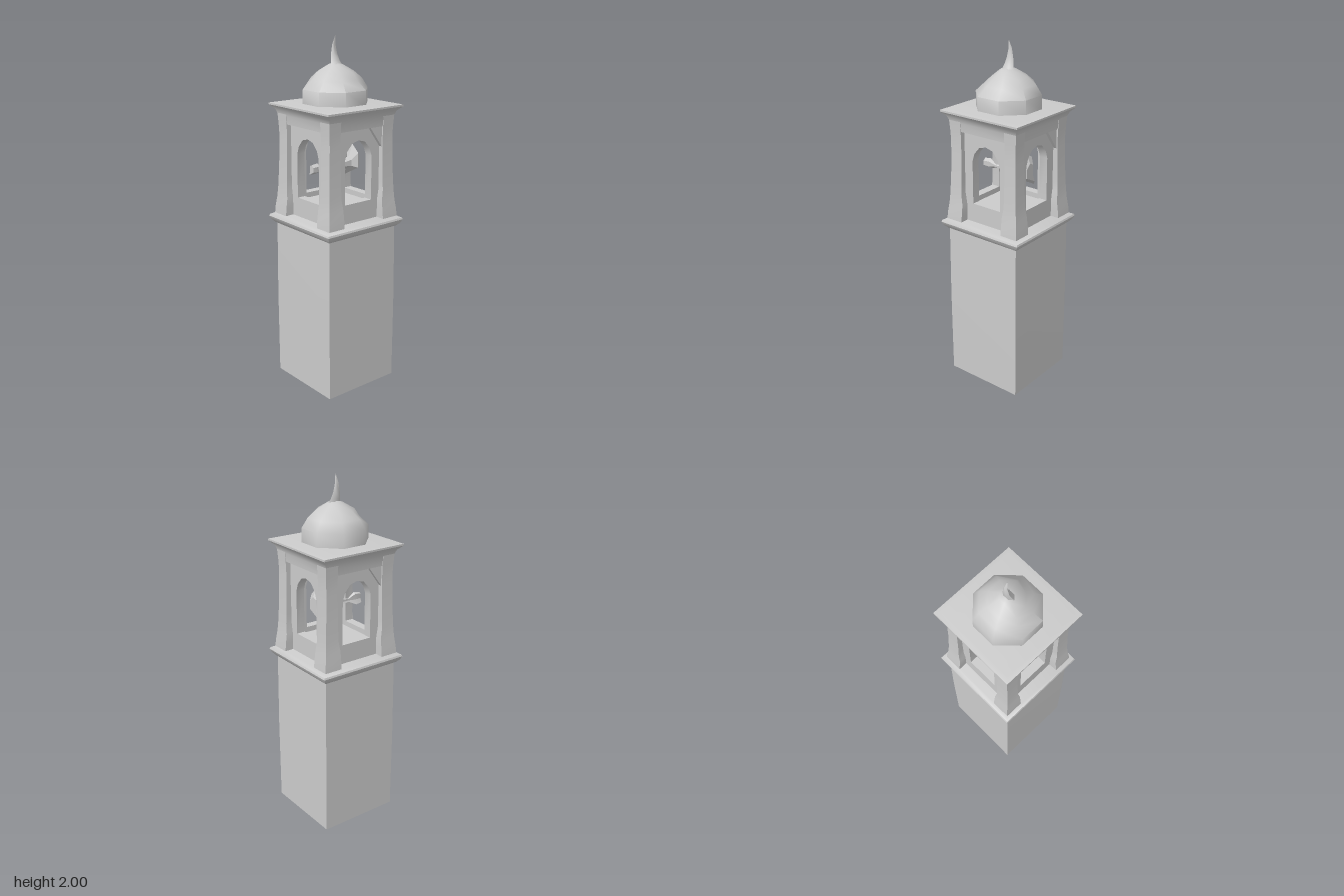
import * as THREE from 'three';
import { toCreasedNormals } from 'three/addons/utils/BufferGeometryUtils.js';

const material = new THREE.MeshStandardMaterial({ color: 0xcccccc, side: THREE.DoubleSide });

function add(parent, name, geometry, crease = 0.7) {
  const mesh = new THREE.Mesh(toCreasedNormals(geometry, crease), material);
  mesh.name = name;
  parent.add(mesh);
  return mesh;
}

// Square or polygonal solid from [half width, height] pairs, flats facing the axes
function prism(profile, sides) {
  const k = 1 / Math.cos(Math.PI / sides);
  const points = profile.map(([r, y]) => new THREE.Vector2(r * k, y));
  return new THREE.LatheGeometry(points, sides, Math.PI / sides);
}

// Half width of the belfry corner at a given height
const corner = [[0.98, 0.248], [1.05, 0.243], [1.12, 0.233], [1.3, 0.225], [1.48, 0.222], [1.6, 0.23]];
function cornerAt(y) {
  for (let i = 1; i < corner.length; i++) {
    const [y0, r0] = corner[i - 1], [y1, r1] = corner[i];
    if (y <= y1) return r0 + (r1 - r0) * (y - y0) / (y1 - y0);
  }
  return corner[corner.length - 1][1];
}

// Corner pier with flared foot and slightly bowed outer faces
function pierGeometry() {
  const g = new THREE.BoxGeometry(1, 0.6, 1, 1, 10, 1);
  const p = g.attributes.position;
  for (let i = 0; i < p.count; i++) {
    const y = p.getY(i) + 1.28;
    const out = cornerAt(y), inner = 0.15 - 0.01 * (y < 1.1 ? 1 : 0);
    p.setXYZ(i, p.getX(i) > 0 ? out : inner, y, p.getZ(i) > 0 ? out : inner);
  }
  return g;
}

// Recessed wall panel with a faceted arch opening
function panelGeometry() {
  const shape = new THREE.Shape([[-0.17, 1], [0.17, 1], [0.17, 1.56], [-0.17, 1.56]]
    .map(([x, y]) => new THREE.Vector2(x, y)));
  const arch = [[-0.095, 1.11], [-0.095, 1.36], [-0.08, 1.405], [-0.045, 1.445], [0, 1.457],
    [0.045, 1.445], [0.08, 1.405], [0.095, 1.36], [0.095, 1.11]];
  shape.holes.push(new THREE.Path(arch.map(([x, y]) => new THREE.Vector2(x, y))));
  const g = new THREE.ExtrudeGeometry(shape, { depth: 0.05, bevelEnabled: false });
  return g.translate(0, 0, 0.145);
}

// Ragged bell and its bar, lofted along x from one scaled outline
function bellGeometry() {
  const outline = [[0.05, 0.07], [0, 0.115], [-0.045, 0.095], [-0.04, 0], [-0.07, -0.075], [0.05, -0.015]];
  const sections = [[-0.17, 0.3], [-0.13, 0.35], [-0.09, 0.1], [0.04, 0.22], [0.1, 0.42], [0.125, 1], [0.15, 0.6]];
  const n = outline.length, pos = [], index = [];
  for (const [x, s] of sections) for (const [z, y] of outline) pos.push(x, 1.275 + y * s, z * s);
  for (let i = 0; i < sections.length - 1; i++) {
    for (let j = 0; j < n; j++) {
      const a = i * n + j, b = i * n + (j + 1) % n;
      index.push(a, b, a + n, b, b + n, a + n);
    }
  }
  const last = (sections.length - 1) * n;
  for (let j = 1; j < n - 1; j++) index.push(0, j + 1, j, last, last + j, last + j + 1);
  const g = new THREE.BufferGeometry();
  g.setAttribute('position', new THREE.Float32BufferAttribute(pos, 3));
  g.setIndex(index);
  return g;
}

export function createModel() {
  const tower = new THREE.Group();
  tower.name = 'bellTower';

  // Shaft and ledge
  add(tower, 'shaft', prism([[0, 0], [0.24, 0], [0.241, 0.5], [0.238, 0.95]], 4));
  add(tower, 'ledge', prism([[0.225, 0.935], [0.245, 0.94], [0.262, 0.957], [0.272, 0.978],
    [0.268, 0.988], [0.245, 1.0], [0, 1.005]], 4));

  // Belfry: four sides, each a panel and a corner pier
  const belfry = new THREE.Group();
  belfry.name = 'belfry';
  tower.add(belfry);
  for (let i = 0; i < 4; i++) {
    const side = new THREE.Group();
    side.name = 'belfrySide';
    side.rotation.y = i * Math.PI / 2;
    add(side, 'archPanel', panelGeometry());
    add(side, 'cornerPier', pierGeometry());
    // Sloped fillet in the upper corner of the recess
    const fillet = new THREE.Shape([new THREE.Vector2(0.155, 1.53), new THREE.Vector2(0.155, 1.4),
      new THREE.Vector2(0.06, 1.53)]);
    add(side, 'recessFillet', new THREE.ExtrudeGeometry(fillet, { depth: 0.03, bevelEnabled: false })
      .translate(0, 0, 0.185));
    belfry.add(side);
  }
  add(belfry, 'floor', new THREE.BoxGeometry(0.32, 0.08, 0.32).translate(0, 1.04, 0));
  add(belfry, 'bell', bellGeometry(), 0.4);

  // Flared cornice and flat roof
  add(tower, 'cornice', prism([[0, 1.52], [0.221, 1.52], [0.226, 1.57], [0.237, 1.598], [0.262, 1.622],
    [0.262, 1.632], [0.235, 1.637], [0, 1.642]], 4));

  // Octagonal dome, flattened toward the front left
  const dome = prism([[0.172, 1.63], [0.171, 1.715], [0.14, 1.768], [0.098, 1.806], [0.04, 1.843], [0, 1.86]], 8);
  const p = dome.attributes.position;
  for (let i = 0; i < p.count; i++) {
    const x = p.getX(i), y = p.getY(i), z = p.getZ(i);
    if (y > 1.74 && y < 1.83 && z - x > 0.06) p.setXYZ(i, x * 0.88, y - 0.004, z * 0.88);
  }
  add(tower, 'dome', dome, 1);

  // Slightly bent finial
  const finial = prism([[0.036, 1.835], [0.026, 1.865], [0.019, 1.9], [0.01, 1.95], [0, 2]], 6);
  const f = finial.attributes.position;
  for (let i = 0; i < f.count; i++) {
    const t = (f.getY(i) - 1.835) / 0.165;
    f.setZ(i, f.getZ(i) * 0.65 + 0.01 - 0.025 * Math.sin(Math.PI * Math.min(1, t * 0.85)));
  }
  add(tower, 'finial', finial, 1);

  return tower;
}
